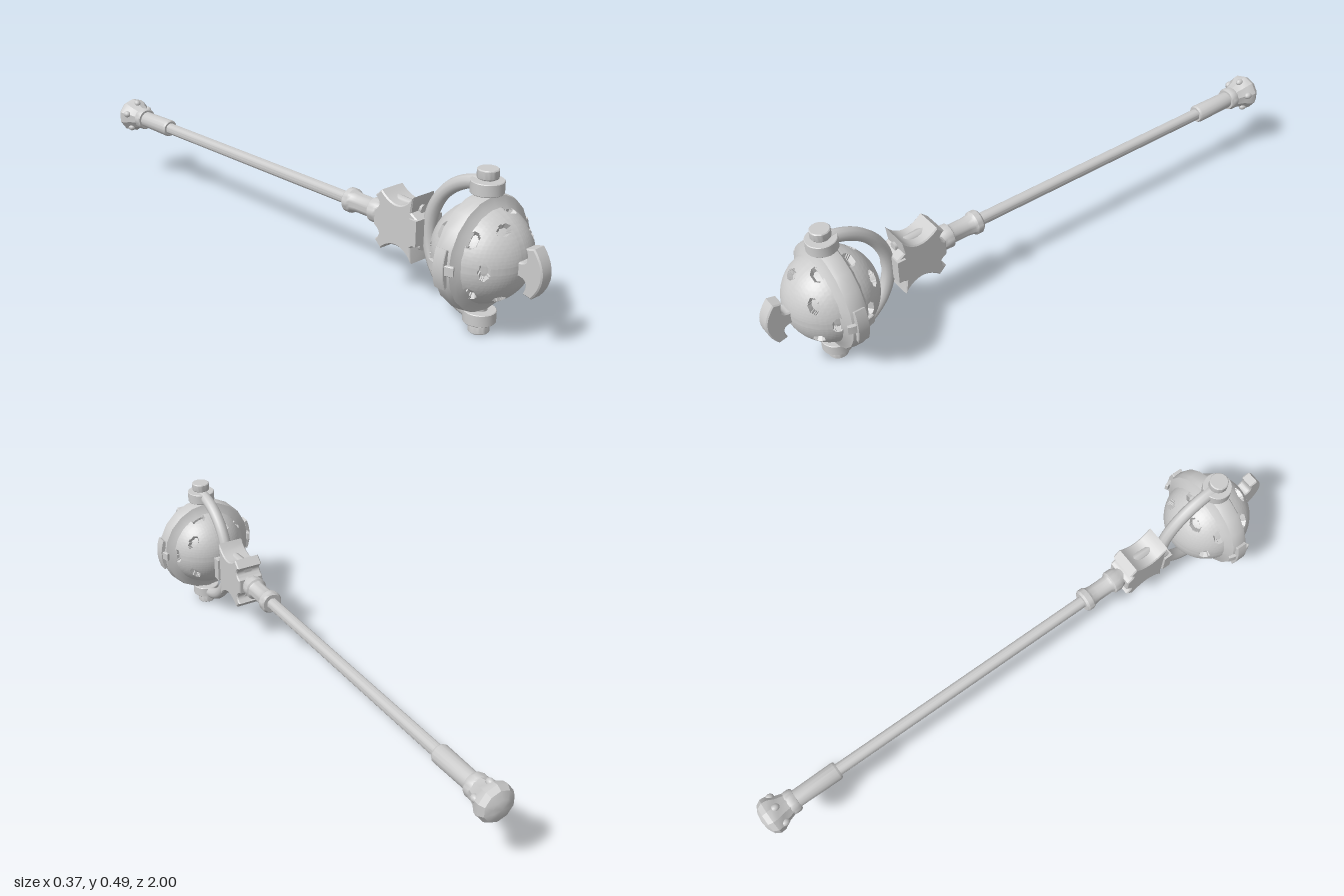
import * as THREE from 'three';
import { toCreasedNormals } from 'three/addons/utils/BufferGeometryUtils.js';

const AXIS_Y = 0.2475, BALL_Z = 0.78;

export function createModel() {
  const model = new THREE.Group();
  const mat = new THREE.MeshStandardMaterial({ color: 0xcccccc });

  function add(name, geo, x = 0, y = 0, z = 0, parent = model) {
    const m = new THREE.Mesh(geo, mat);
    m.name = name;
    m.position.set(x, y, z);
    parent.add(m);
    return m;
  }
  // Turned part along z; profile is [radius, z], running towards +z
  function turned(profile, seg = 24, crease = 0.6) {
    const g = new THREE.LatheGeometry(profile.map(p => new THREE.Vector2(...p)), seg);
    g.rotateX(Math.PI / 2);
    return toCreasedNormals(g, crease);
  }
  // Outline in (outward, height), centred across its width and bevelled
  function plate(shape, width, bevel = 0.004) {
    const g = new THREE.ExtrudeGeometry(shape, {
      depth: width - 2 * bevel, bevelThickness: bevel, bevelSize: bevel,
      bevelOffset: -bevel, bevelSegments: 1, curveSegments: 10,
    });
    g.translate(0, 0, -width / 2 + bevel);
    return toCreasedNormals(g, 0.6);
  }

  // Shaft, socket sleeve, grip and pommel
  add('shaft', turned([[0.02, -0.74], [0.02, 0.27]], 16), 0, AXIS_Y);
  add('socketSleeve', turned([
    [0, 0.245], [0.033, 0.245], [0.039, 0.252], [0.039, 0.27], [0.033, 0.278], [0.03, 0.3],
    [0.03, 0.35], [0.033, 0.358], [0.039, 0.362], [0.039, 0.385], [0.034, 0.395], [0.03, 0.42], [0, 0.42],
  ]), 0, AXIS_Y);
  add('grip', turned([[0, -0.89], [0.029, -0.89], [0.031, -0.725], [0.027, -0.718], [0, -0.718]], 16), 0, AXIS_Y);
  add('gripRing', turned([[0, -0.905], [0.037, -0.905], [0.04, -0.898], [0.04, -0.882], [0.036, -0.873], [0, -0.873]]), 0, AXIS_Y);
  add('pommel', turned([
    [0, -1], [0.03, -0.996], [0.052, -0.985], [0.062, -0.968], [0.06, -0.95], [0.047, -0.93], [0.038, -0.9], [0, -0.9],
  ], 10, 0.5), 0, AXIS_Y);
  for (let i = 0; i < 5; i++) {
    const a = (i / 5) * Math.PI * 2 + Math.PI / 2;
    const stud = add('pommelStud', new THREE.SphereGeometry(0.012, 10, 8),
      Math.cos(a) * 0.05, AXIS_Y + Math.sin(a) * 0.05, -0.94);
    stud.scale.z = 1.3;
  }

  // Hollowed ball: the sphere is pushed inward inside rings of oval slots
  const ball = new THREE.SphereGeometry(0.145, 200, 104);
  ball.rotateX(Math.PI / 2);
  const pos = ball.attributes.position, v = new THREE.Vector3();
  const slotRings = [{ polar: 0.84, turn: 36 }, { polar: 1.2, turn: 0 }];
  for (let i = 0; i < pos.count; i++) {
    v.fromBufferAttribute(pos, i);
    const polar = Math.acos(Math.min(1, Math.abs(v.z) / 0.145));
    const az = Math.atan2(v.y, v.x);
    for (const { polar: p, turn } of slotRings) {
      const step = Math.PI * 0.4;
      let d = az - THREE.MathUtils.degToRad(turn);
      d -= Math.round(d / step) * step;
      const e = Math.hypot(d * Math.sin(p) / 0.165, (polar - p) / 0.1);
      if (e < 1) v.multiplyScalar(0.88);
    }
    pos.setXYZ(i, v.x, v.y, v.z);
  }
  add('slottedBall', toCreasedNormals(ball, 0.6), 0, AXIS_Y, BALL_Z);

  // Flange around the middle of the ball
  add('ballFlange', turned([
    [0.135, -0.045], [0.153, -0.032], [0.17, -0.026], [0.174, -0.012],
    [0.174, 0.012], [0.17, 0.026], [0.153, 0.032], [0.135, 0.045],
  ], 20, 0.5), 0, AXIS_Y, BALL_Z);

  // Curved handle on the front, with smaller ones at the sides
  const handle = (so, sh) => {
    const s = new THREE.Shape();
    s.moveTo(-0.01 * so, -0.022 * sh);
    s.quadraticCurveTo(0.045 * so, -0.015 * sh, 0.022 * so, -0.066 * sh);
    s.lineTo(0.05 * so, -0.073 * sh);
    s.quadraticCurveTo(0.112 * so, 0, 0.05 * so, 0.073 * sh);
    s.lineTo(0.022 * so, 0.066 * sh);
    s.quadraticCurveTo(0.045 * so, 0.015 * sh, -0.01 * so, 0.022 * sh);
    return s;
  };
  add('frontHandle', plate(handle(1, 1), 0.046), 0, AXIS_Y, 0.919).rotation.y = -Math.PI / 2;
  for (const side of [1, -1]) {
    const clip = new THREE.Group();
    clip.name = side > 0 ? 'leftClip' : 'rightClip';
    clip.position.set(side * 0.155, AXIS_Y, BALL_Z);
    clip.rotation.y = side > 0 ? 0 : Math.PI;
    model.add(clip);
    add('clipPlate', plate(handle(0.38, 0.82), 0.038, 0.002), 0, 0, 0, clip);
    add('clipCrossbar', plate(handle(0.33, 0.6), 0.03, 0.002), 0, 0, 0, clip).rotation.x = Math.PI / 2;
  }

  // Pivots above and below the ball
  const pivotProfile = [
    [0, 0.165], [0.022, 0.165], [0.022, 0.176], [0.046, 0.176], [0.048, 0.178], [0.048, 0.211],
    [0.046, 0.213], [0.02, 0.213], [0.02, 0.218], [0.029, 0.218], [0.031, 0.221], [0.031, 0.243], [0.028, 0.246], [0, 0.246],
  ].map(p => new THREE.Vector2(...p));
  for (const up of [1, -1]) {
    const g = toCreasedNormals(new THREE.LatheGeometry(pivotProfile, 28), 0.6);
    add(up > 0 ? 'topPivot' : 'bottomPivot', g, 0, AXIS_Y, BALL_Z + 0.004).rotation.x = up > 0 ? 0 : Math.PI;
  }

  // Half-round yoke joining both pivots behind the ball
  const yoke = new THREE.TorusGeometry(0.201, 0.021, 10, 40, Math.PI);
  yoke.rotateZ(Math.PI / 2);
  yoke.rotateY(-Math.PI / 2);
  add('yoke', yoke, 0, AXIS_Y, BALL_Z + 0.004);

  // Horned bracket holding the yoke on the shaft, outline in (z, height)
  const bracket = new THREE.Shape();
  bracket.moveTo(0.575, -0.04);
  bracket.quadraticCurveTo(0.562, 0, 0.575, 0.04);
  bracket.lineTo(0.55, 0.055);
  bracket.lineTo(0.556, 0.104);
  bracket.quadraticCurveTo(0.5, 0.03, 0.43, 0.094);
  bracket.lineTo(0.405, 0.07);
  bracket.quadraticCurveTo(0.44, 0.045, 0.4, 0.025);
  bracket.lineTo(0.4, -0.025);
  bracket.quadraticCurveTo(0.44, -0.045, 0.405, -0.07);
  bracket.lineTo(0.43, -0.094);
  bracket.quadraticCurveTo(0.5, -0.03, 0.556, -0.104);
  bracket.lineTo(0.55, -0.055);
  add('yokeBracket', plate(bracket, 0.094), 0, AXIS_Y).rotation.y = -Math.PI / 2;
  add('bracketFoot', new THREE.BoxGeometry(0.11, 0.08, 0.03), 0, AXIS_Y, 0.565);
  // Raised spines along the top and bottom of the bracket
  for (const up of [1, -1]) {
    const spine = add('bracketSpine', new THREE.CylinderGeometry(0.014, 0.02, 0.14, 8), 0, AXIS_Y + up * 0.058, 0.49);
    spine.rotation.x = Math.PI / 2;
  }
  return model;
}
